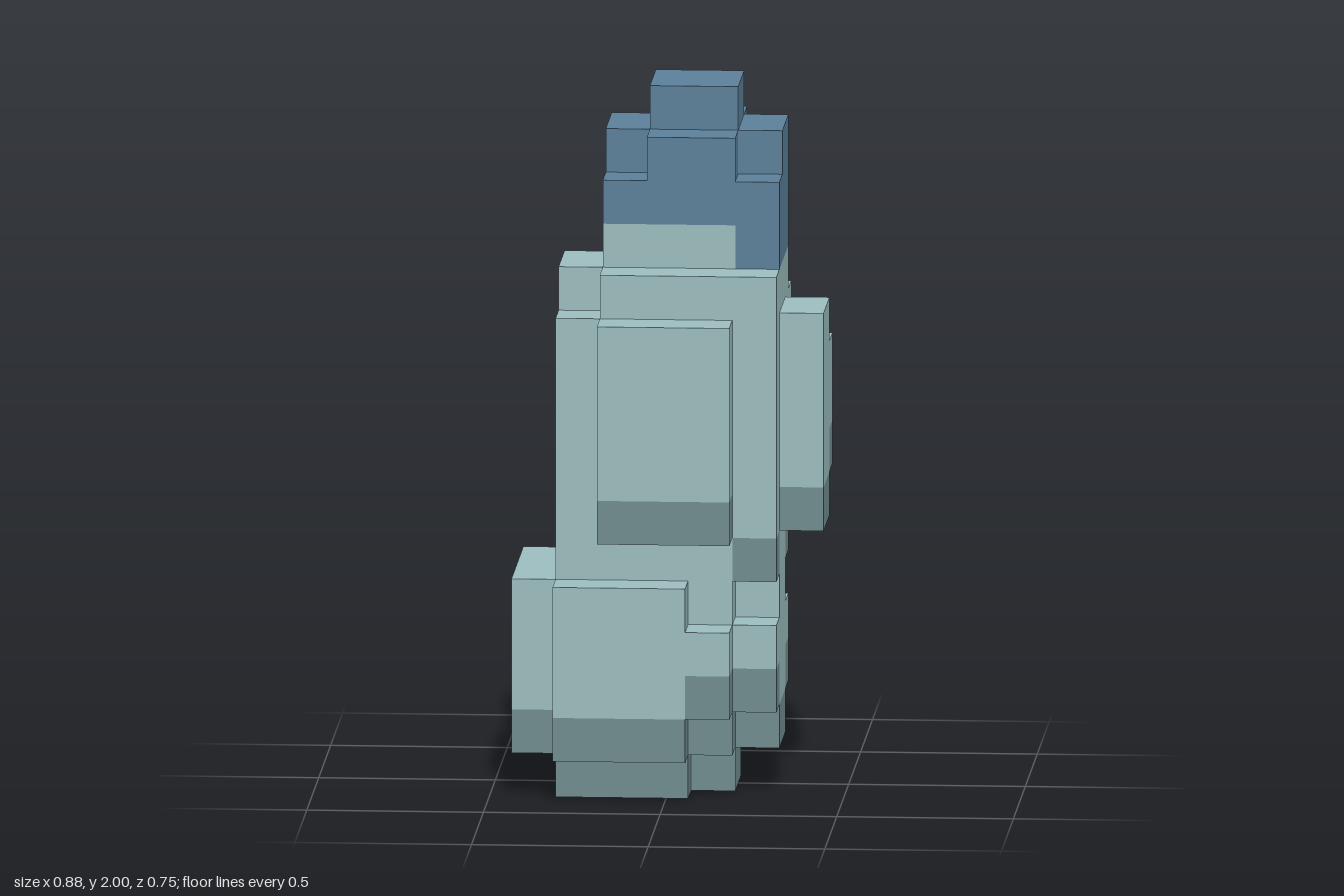
import * as THREE from 'three';

const CELL = 0.125;

export function createModel() {
  const model = new THREE.Group();
  const mat = (name, color) => {
    const m = new THREE.MeshStandardMaterial({ color });
    m.name = name;
    return m;
  };
  const pale = mat('pale teal', 0x9bbcbd);
  const grey = mat('slate grey', 0x718c8f);
  const blue = mat('steel blue', 0x5b7f98);
  const purple = mat('dusty purple', 0x9f8fae);

  // Box between cell indices: x 0..7, y 0..16, z 0..6
  function block(name, material, [x0, x1], [y0, y1], [z0, z1]) {
    const geo = new THREE.BoxGeometry((x1 - x0) * CELL, (y1 - y0) * CELL, (z1 - z0) * CELL);
    const mesh = new THREE.Mesh(geo, material);
    mesh.name = name;
    mesh.position.set(((x0 + x1) / 2 - 3.5) * CELL, ((y0 + y1) / 2) * CELL, ((z0 + z1) / 2 - 3) * CELL);
    model.add(mesh);
  }
  // Pale block whose lowest cell is grey
  function hemmed(name, x, [y0, y1], z) {
    block(name + 'Hem', grey, x, [y0, y0 + 1], z);
    block(name, pale, x, [y0 + 1, y1], z);
  }

  // Base
  block('base', grey, [1, 4], [0, 1], [1, 5]);
  block('baseRightStep', grey, [4, 5], [0, 1], [2, 4]);

  // Lower body
  hemmed('lowerCore', [1, 5], [1, 5], [1, 5]);
  hemmed('sideColumn', [5, 6], [1, 6], [2, 4]);
  for (const z of [[0, 1], [5, 6]]) {
    hemmed('lowerSlab', [1, 4], [1, 5], z);
    hemmed('lowerStep', [4, 5], [2, 4], z);
  }

  // Frame with a square recess on the -x side
  block('frameBottom', grey, [0, 1], [1, 2], [1, 5]);
  block('frameTop', pale, [0, 1], [4, 5], [1, 5]);
  for (const z of [[1, 2], [4, 5]]) {
    block('framePost', pale, [0, 1], [2, 4], z);
    hemmed('lowerCorner', [5, 6], [2, 4], z);
    block('waistPost', pale, [1, 2], [5, 6], z);
    block('torsoCornerHem', grey, [5, 6], [5, 6], z);
  }

  // Waist, torso and shoulders
  block('waist', pale, [2, 5], [5, 6], [1, 5]);
  block('torso', pale, [1, 6], [6, 11], [1, 5]);
  block('shoulders', pale, [2, 6], [11, 12], [1, 5]);
  block('shoulderEnd', pale, [1, 2], [11, 12], [2, 4]);

  // Raised panels on the torso
  hemmed('frontPanel', [2, 5], [6, 11], [5, 6]);
  hemmed('sidePanel', [6, 7], [6, 11], [2, 4]);
  hemmed('sidePanelRear', [6, 7], [7, 10], [1, 2]);
  hemmed('backPanelLeft', [5, 6], [6, 11], [0, 1]);
  hemmed('backPanelInner', [4, 5], [5, 11], [0, 1]);
  block('backPanelCentre', pale, [3, 4], [5, 11], [0, 1]);
  hemmed('backPanelRight', [2, 3], [6, 11], [0, 1]);

  // Head, cap and face
  block('nape', pale, [3, 5], [11, 12], [0, 1]);
  block('capBack', blue, [3, 5], [12, 15], [0, 1]);
  block('capMiddle', blue, [2, 6], [12, 15], [1, 3]);
  block('face', pale, [2, 5], [12, 13], [3, 4]);
  block('capLock', blue, [5, 6], [12, 13], [3, 4]);
  block('capBrow', blue, [2, 6], [13, 14], [3, 4]);
  block('capFront', blue, [3, 5], [14, 15], [3, 4]);
  block('capTop', blue, [3, 5], [15, 16], [1, 3]);

  // Thin painted mark wrapping the rear corner
  const t = 0.03;
  block('markUpright', purple, [1 - t, 1], [7, 10], [2, 3]);
  block('markBarSide', purple, [1 - t, 1], [8, 9], [1 - t, 2]);
  block('markBarBack', purple, [1, 2], [8, 9], [1 - t, 1]);

  return model;
}
